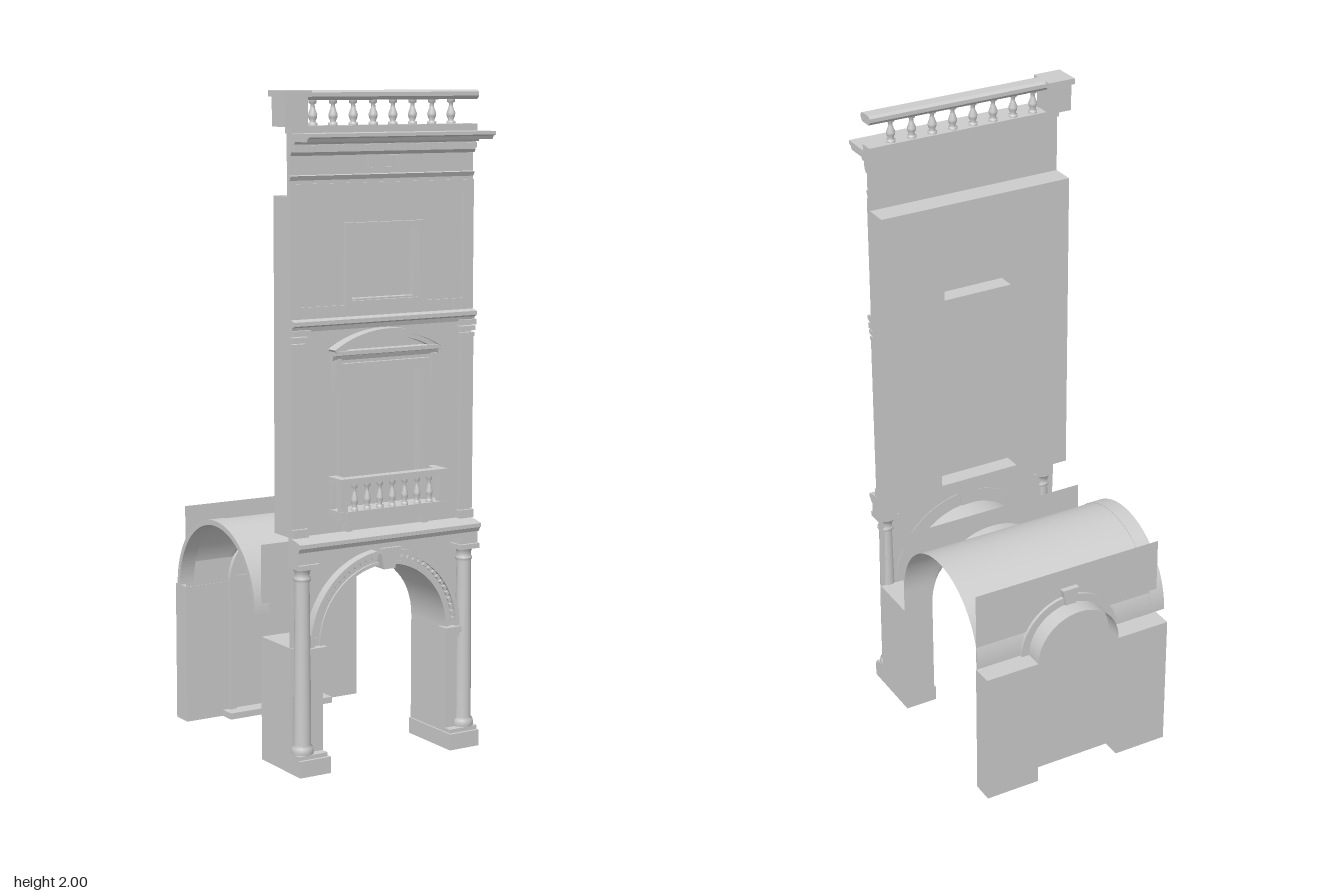
import * as THREE from 'three';

const W = 0.32; // half width of the bay
const SPRING = 0.38, R = 0.22; // street arch
const DOOR_SPRING = 0.44, DOOR_R = 0.1425; // rear door arch

export function createModel() {
  const root = new THREE.Group();
  root.name = 'facadeBay';
  const bay = new THREE.Group();
  bay.name = 'bay';
  bay.position.x = 0.02;
  root.add(bay);
  const mat = new THREE.MeshStandardMaterial({ color: 0xcccccc });
  const thin = new THREE.MeshStandardMaterial({ color: 0xcccccc, side: THREE.DoubleSide });

  const add = (name, geo, m = mat) => {
    const mesh = new THREE.Mesh(geo, m);
    mesh.name = name;
    bay.add(mesh);
    return mesh;
  };
  // box given by its limits
  const box = (name, x0, x1, y0, y1, z0, z1) => add(name, new THREE.BoxGeometry(x1 - x0, y1 - y0, z1 - z0)
    .translate((x0 + x1) / 2, (y0 + y1) / 2, (z0 + z1) / 2));
  const pair = (name, x0, x1, ...rest) => {
    box(name + 'Left', x0, x1, ...rest);
    box(name + 'Right', -x1, -x0, ...rest);
  };
  const slab = (name, shape, z0, z1) => add(name, new THREE.ExtrudeGeometry(shape,
    { depth: z1 - z0, bevelEnabled: false, curveSegments: 24 }).translate(0, 0, z0));
  const poly = (pts) => new THREE.Shape(pts.map(([x, y]) => new THREE.Vector2(x, y)));
  const rect = (x0, x1, y0, y1) => poly([[x0, y0], [x1, y0], [x1, y1], [x0, y1]]);
  // profile of [z, y] points run along x
  const moulding = (name, pts, x0, x1) => add(name, new THREE.ExtrudeGeometry(poly(pts),
    { depth: x1 - x0, bevelEnabled: false }).rotateY(-Math.PI / 2).translate(x1, 0, 0));
  const frame = (name, x, y0, y1, t, z0, z1) => {
    const s = rect(-x, x, y0, y1);
    s.holes.push(rect(-x + t, x - t, y0 + t, y1 - t));
    return slab(name, s, z0, z1);
  };
  // half ring standing on a springing line
  const archBand = (name, r0, r1, cy, z0, z1) => {
    const s = new THREE.Shape();
    s.absarc(0, cy, r1, 0, Math.PI, false);
    s.absarc(0, cy, r0, Math.PI, 0, true);
    return slab(name, s, z0, z1);
  };
  // thin plate over an arched opening
  const spandrel = (name, r, cy, top, z) => {
    const s = new THREE.Shape();
    s.moveTo(-W, cy);
    s.lineTo(-r, cy);
    s.absarc(0, cy, r, Math.PI, 0, true);
    s.lineTo(W, cy);
    s.lineTo(W, top);
    s.lineTo(-W, top);
    add(name, new THREE.ShapeGeometry(s, 32).translate(0, 0, z), thin);
  };
  const soffit = (name, r, cy, z0, z1) => add(name,
    new THREE.CylinderGeometry(r, r, z1 - z0, 32, 1, true, Math.PI / 2, Math.PI)
      .rotateX(Math.PI / 2).translate(0, cy, (z0 + z1) / 2), thin);
  const turned = (name, pts, x, y, z, n = 12) => add(name, new THREE.LatheGeometry(
    pts.map(([r, h]) => new THREE.Vector2(r, h)), n).translate(x, y, z), thin);
  const baluster = (name, x, y, z, h, r) => turned(name,
    [[1, 0], [1, 0.1], [0.55, 0.14], [0.9, 0.3], [1, 0.42], [0.5, 0.66], [0.42, 0.82], [0.85, 0.86], [0.85, 1]]
      .map(([a, b]) => [a * r, b * h]), x, y, z, 10);

  // ---- street arch: piers, columns, archivolt
  pair('pier', R, W, 0, SPRING, 0.13, 0.3);
  pair('pierPlinth', R - 0.006, W, 0, 0.05, 0.13, 0.355);
  pair('pierPlinthMoulding', R, W, 0.05, 0.062, 0.13, 0.345);
  soffit('archSoffit', R, SPRING, 0.13, 0.3);
  spandrel('archSpandrelFront', R, SPRING, 0.72, 0.295);
  spandrel('archSpandrelBack', R, SPRING, 0.66, 0.13);
  pair('archPilaster', R, 0.262, 0.06, 0.345, 0.3, 0.318);
  pair('archImpost', R - 0.004, 0.268, 0.345, 0.36, 0.29, 0.324);
  pair('archImpostCap', R - 0.008, 0.272, 0.36, 0.378, 0.29, 0.33);
  archBand('archivolt', R, 0.255, SPRING, 0.293, 0.312);
  archBand('archivoltInnerBead', R, 0.23, SPRING, 0.293, 0.318);
  archBand('archivoltOuterBead', 0.252, 0.266, SPRING, 0.293, 0.326);
  for (let i = 1; i < 36; i++) {
    const a = i / 36 * Math.PI;
    const d = add('archivoltDentil', new THREE.BoxGeometry(0.01, 0.011, 0.01));
    d.position.set(0.247 * Math.cos(a), SPRING + 0.247 * Math.sin(a), 0.315);
    d.rotation.z = a;
  }
  slab('keystone', poly([[-0.02, 0.59], [0.02, 0.59], [0.032, 0.65], [-0.032, 0.65]]), 0.29, 0.34);
  box('keystoneCap', -0.035, 0.035, 0.64, 0.656, 0.29, 0.35);
  for (const s of [-1, 1]) {
    turned('column', [[0.032, 0.06], [0.034, 0.07], [0.032, 0.082], [0.026, 0.09], [0.025, 0.3], [0.022, 0.58],
      [0.026, 0.585], [0.026, 0.592], [0.022, 0.596], [0.023, 0.61], [0.031, 0.622]], s * 0.288, 0, 0.313, 20);
  }
  pair('columnAbacus', 0.25, W, 0.62, 0.635, 0.29, 0.35);
  pair('columnImpostBlock', 0.256, W, 0.635, 0.657, 0.29, 0.34);
  moulding('firstEntablature', [[0.29, 0.655], [0.34, 0.655], [0.34, 0.672], [0.346, 0.672], [0.352, 0.684],
    [0.358, 0.686], [0.358, 0.698], [0.3, 0.71], [0.29, 0.71]], -W, W);

  // ---- upper wall with two window openings
  const wall = rect(-W, W, 0.71, 1.7);
  wall.holes.push(rect(-0.135, 0.135, 0.745, 1.185), rect(-0.115, 0.115, 1.39, 1.605));
  slab('upperWall', wall, 0.21, 0.296);
  box('balconyWindowPane', -0.135, 0.135, 0.745, 1.185, 0.266, 0.272);
  box('topWindowPane', -0.115, 0.115, 1.39, 1.605, 0.266, 0.272);

  // ---- second storey
  pair('pilaster', 0.275, W, 0.71, 1.27, 0.29, 0.308);
  pair('pilasterBase', 0.268, W, 0.71, 0.735, 0.29, 0.318);
  for (const [i, y] of [1.265, 1.283, 1.301].entries()) {
    pair('pilasterCapital' + i, 0.272 - i * 0.005, W, y, y + 0.012 + i * 0.002, 0.29, 0.313 + i * 0.005);
  }
  moulding('stringCourse', [[0.29, 1.312], [0.31, 1.312], [0.314, 1.325], [0.326, 1.33], [0.326, 1.342],
    [0.29, 1.35]], -W, W);
  frame('balconyWindowFrame', 0.16, 0.73, 1.21, 0.024, 0.28, 0.31);
  frame('balconyWindowInnerFrame', 0.14, 0.745, 1.19, 0.01, 0.272, 0.303);
  pair('windowBracket', 0.158, 0.178, 1.165, 1.225, 0.29, 0.325);
  pair('windowBracketTail', 0.161, 0.175, 1.125, 1.165, 0.29, 0.312);
  moulding('pedimentCornice', [[0.29, 1.222], [0.315, 1.222], [0.32, 1.235], [0.333, 1.238], [0.333, 1.25],
    [0.29, 1.252]], -0.185, 0.185);
  const PR = 0.349, PY = 1.302 - PR, PA = Math.asin(0.185 / PR);
  const seg = (r0, r1) => {
    const s = new THREE.Shape();
    s.absarc(0, PY, r1, Math.PI / 2 - PA, Math.PI / 2 + PA, false);
    s.absarc(0, PY, r0, Math.PI / 2 + PA, Math.PI / 2 - PA, true);
    return s;
  };
  slab('pedimentArch', seg(PR - 0.018, PR), 0.29, 0.326);
  slab('pedimentArchCap', seg(PR - 0.004, PR + 0.007), 0.29, 0.335);
  const tympanum = new THREE.Shape();
  tympanum.absarc(0, PY, PR - 0.01, Math.PI / 2 - PA, Math.PI / 2 + PA, false);
  slab('pedimentTympanum', tympanum, 0.29, 0.306);

  // ---- balcony
  box('balconyFloor', -0.185, 0.185, 0.765, 0.782, 0.29, 0.366);
  box('balconyFloorMoulding', -0.175, 0.175, 0.75, 0.765, 0.29, 0.355);
  box('balconyRail', -0.188, 0.188, 0.862, 0.88, 0.335, 0.368);
  pair('balconySideRail', 0.16, 0.188, 0.862, 0.88, 0.29, 0.335);
  pair('balconyPost', 0.162, 0.184, 0.782, 0.862, 0.34, 0.364);
  pair('balconyWallPost', 0.166, 0.182, 0.782, 0.862, 0.29, 0.305);
  pair('balconyBracket', 0.125, 0.143, 0.715, 0.752, 0.29, 0.33);
  for (let i = 0; i < 7; i++) baluster('balconyBaluster', (i - 3) * 0.044, 0.782, 0.352, 0.08, 0.011);

  // ---- third storey
  frame('topPanelFrame', W, 1.345, 1.735, 0.036, 0.29, 0.303);
  frame('topWindowFrame', 0.135, 1.375, 1.62, 0.018, 0.28, 0.312);
  frame('topWindowInnerFrame', 0.12, 1.388, 1.607, 0.01, 0.272, 0.303);

  // ---- attic, cornice and roof balustrade
  box('atticWall', -W, W, 1.7, 1.86, 0.285, 0.297);
  moulding('atticMoulding', [[0.29, 1.745], [0.3, 1.745], [0.306, 1.758], [0.29, 1.762]], -W, W);
  frame('atticTablet', 0.055, 1.772, 1.812, 0.006, 0.29, 0.306);
  box('atticTabletCap', -0.06, 0.06, 1.806, 1.814, 0.29, 0.312);
  moulding('dentilBed', [[0.29, 1.815], [0.304, 1.815], [0.31, 1.825], [0.31, 1.85], [0.29, 1.85]], -W, W);
  for (let i = 0; i < 32; i++) {
    const x = -W + 0.005 + i * 0.02;
    box('corniceDentil', x, x + 0.011, 1.829, 1.845, 0.305, 0.322);
  }
  moulding('cornice', [[0.285, 1.848], [0.325, 1.848], [0.33, 1.856], [0.395, 1.856], [0.4, 1.866], [0.412, 1.87],
    [0.412, 1.88], [0.285, 1.88]], -W, W);
  box('balustradePlinth', -W, W, 1.878, 1.9, 0.275, 0.318);
  moulding('balustradeRail', [[0.275, 1.972], [0.316, 1.972], [0.325, 1.982], [0.325, 1.994], [0.315, 2],
    [0.276, 2], [0.265, 1.994], [0.265, 1.982]], -0.3, W);
  for (let i = 0; i < 8; i++) baluster('roofBaluster', -0.24 + i * 0.0685, 1.9, 0.295, 0.074, 0.014);
  box('cornerPedestal', -0.353, -0.277, 1.898, 1.985, 0.258, 0.332);
  box('cornerPedestalCap', -0.36, -0.27, 1.982, 2, 0.25, 0.34);

  // ---- groin vault: barrel along x, cut by lunettes of both arches
  const VR = 0.2425, VZ = -0.1125, VY = 0.45;
  const vault = new THREE.PlaneGeometry(1, 1, 64, 64);
  const p = vault.attributes.position;
  const lunette = (x, r, cy) => (Math.abs(x) < r ? cy + Math.sqrt(r * r - x * x) : 0);
  for (let i = 0; i < p.count; i++) {
    const x = p.getX(i) * 2 * W, a = (p.getY(i) + 0.5) * Math.PI;
    const z = VZ + VR * Math.cos(a);
    const other = z > VZ ? lunette(x, R, SPRING) : lunette(x, 0.165, DOOR_SPRING);
    p.setXYZ(i, x, Math.max(VY + VR * Math.sin(a), other), z);
  }
  vault.computeVertexNormals();
  add('groinVault', vault, thin);
  const rib = new THREE.Shape();
  rib.absarc(0, 0, VR + 0.002, 0, Math.PI, false);
  rib.absarc(0, 0, VR - 0.014, Math.PI, 0, true);
  add('vaultRib', new THREE.ExtrudeGeometry(rib, { depth: 0.05, bevelEnabled: false, curveSegments: 32 })
    .rotateY(Math.PI / 2).translate(-0.343, VY, VZ));

  // ---- rear wall with arched door
  pair('rearPier', DOOR_R, W, 0, DOOR_SPRING, -0.412, -0.343);
  soffit('rearArchSoffit', DOOR_R, DOOR_SPRING, -0.412, -0.343);
  spandrel('rearSpandrel', DOOR_R, DOOR_SPRING, 0.7, -0.345);
  box('door', -DOOR_R, DOOR_R, 0, 0.455, -0.352, -0.347);
  add('doorLunette', new THREE.CircleGeometry(DOOR_R, 32, 0, Math.PI).translate(0, DOOR_SPRING, -0.352), thin);
  pair('doorJamb', DOOR_R, 0.168, 0, DOOR_SPRING, -0.346, -0.335);
  pair('doorJambBead', 0.158, 0.168, 0, DOOR_SPRING, -0.336, -0.33);
  archBand('doorArchivolt', DOOR_R, 0.168, DOOR_SPRING, -0.355, -0.335);
  archBand('doorArchivoltBead', 0.158, 0.168, DOOR_SPRING, -0.336, -0.33);
  slab('doorKeystone', poly([[-0.018, 0.58], [0.018, 0.58], [0.028, 0.635], [-0.028, 0.635]]), -0.362, -0.33);
  box('doorStep', -0.19, 0.19, 0, 0.02, -0.345, -0.29);
  return root;
}
